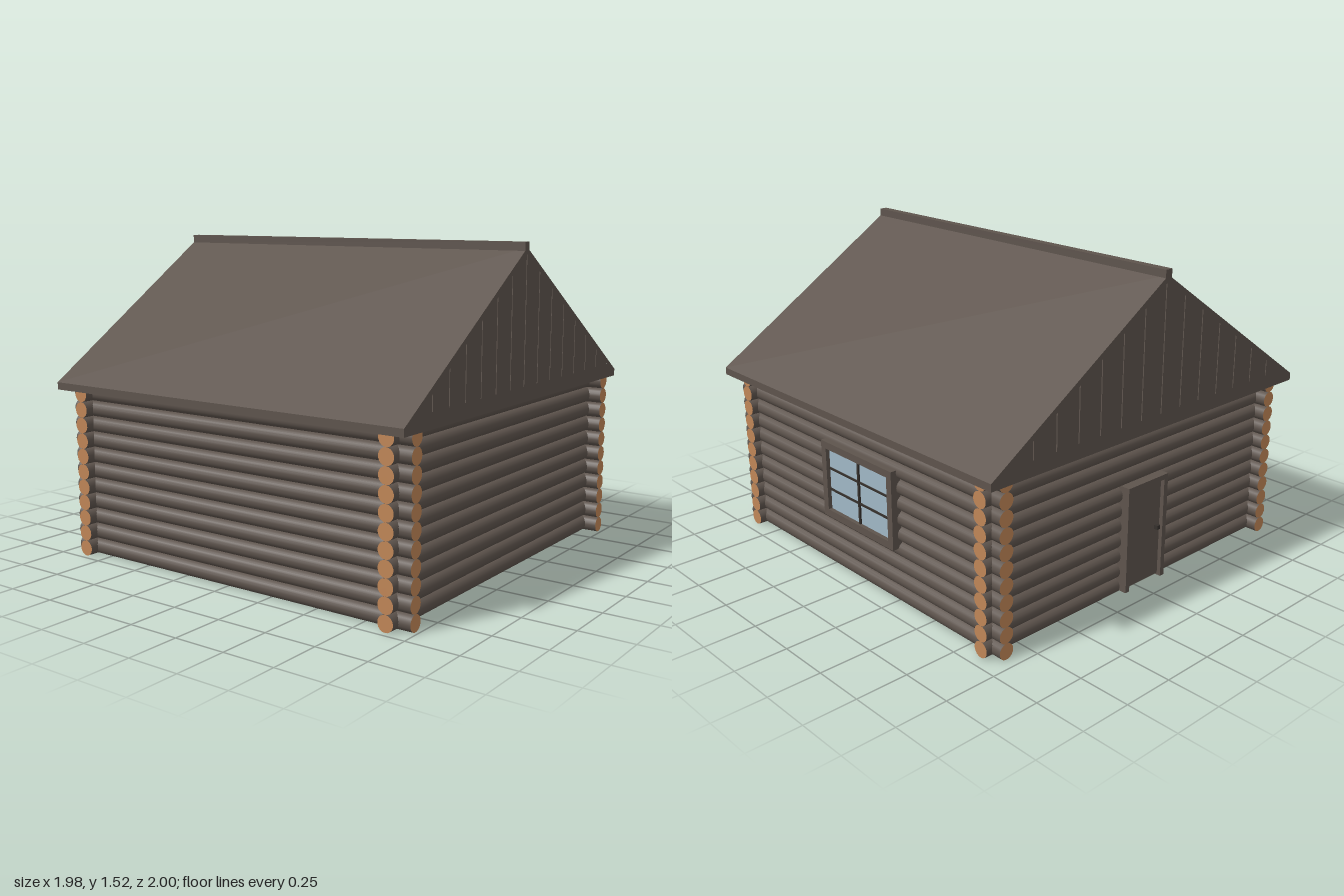
import * as THREE from 'three';

const mat = (name, color) => {
  const m = new THREE.MeshStandardMaterial({ color });
  m.name = name;
  return m;
};

export function createModel() {
  const cabin = new THREE.Group();
  cabin.name = 'logCabin';
  const wood = mat('weathered wood', 0x5e544d);
  const endGrain = mat('cut end grain', 0xc08657);
  const dark = mat('dark gaps', 0x35302c);
  const glass = mat('window glass', 0xa0b8c6);

  const add = (name, geometry, material, parent = cabin) => {
    const mesh = new THREE.Mesh(geometry, material);
    mesh.name = name;
    parent.add(mesh);
    return mesh;
  };
  const box = (name, size, pos, material, parent) => {
    const mesh = add(name, new THREE.BoxGeometry(...size), material, parent);
    mesh.position.set(...pos);
    return mesh;
  };

  // Log walls: eleven logs per side, crossing at the corners
  const R = 0.038, PITCH = 0.0757, COUNT = 11;
  const alongX = new THREE.CylinderGeometry(R, R, 1.93, 18).rotateZ(Math.PI / 2);
  const alongZ = new THREE.CylinderGeometry(R, R, 1.918, 18).rotateX(Math.PI / 2);
  const walls = [
    ['frontWall', alongX, 0.02, 0.897], ['backWall', alongX, 0.02, -0.877],
    ['leftWall', alongZ, 0.89, 0.014], ['rightWall', alongZ, -0.86, 0.014],
  ];
  for (const [name, geometry, x, z] of walls) {
    const wall = new THREE.Group();
    wall.name = name;
    cabin.add(wall);
    for (let i = 0; i < COUNT; i++) {
      add('log', geometry, [wood, endGrain, endGrain], wall).position.set(x, R + i * PITCH, z);
    }
  }
  box('floor', [1.75, 0.03, 1.774], [0.015, 0.018, 0.01], wood);

  // Roof profile is drawn in (-z, y) and extruded along x
  const APEX = 0.015;
  const roofY = (z) => z > APEX
    ? 0.845 + 0.655 * (1 - z) / (1 - APEX)
    : 0.845 + 0.655 * (1 + z) / (1 + APEX);
  const pts = (list) => list.map(([z, y]) => new THREE.Vector2(-z, y));
  const extrude = (shape, depth, x) => new THREE.ExtrudeGeometry(shape, { depth, bevelEnabled: false })
    .rotateY(Math.PI / 2).translate(x - depth / 2, 0, 0);
  const gable = [[0.9, 0.88], [APEX, 1.47], [-0.9, 0.88]];
  const roof = new THREE.Shape(pts([[1, 0.81], [1, 0.845], [APEX, 1.5], [-1, 0.845], [-1, 0.81]]));
  roof.holes.push(new THREE.Path(pts(gable)));
  add('roof', extrude(roof, 1.98, 0), wood);
  add('atticCore', extrude(new THREE.Shape(pts(gable)), 1.92, 0), dark);
  box('ridgeCap', [1.98, 0.04, 0.04], [0, 1.505, 0.017], wood);

  // Gable boards, with narrow gaps between them
  for (const side of [1, -1]) {
    const boards = new THREE.Group();
    boards.name = side > 0 ? 'leftGable' : 'rightGable';
    cabin.add(boards);
    for (let k = -3; k < 11; k++) {
      const z0 = -0.51 + 0.13 * k + 0.003, z1 = z0 + 0.124;
      const top = (z) => Math.max(roofY(z) - 0.022, 0.881);
      const outline = [[z0, 0.875], [z0, top(z0)]];
      if (z0 < APEX && z1 > APEX) outline.push([APEX, top(APEX)]);
      outline.push([z1, top(z1)], [z1, 0.875]);
      add('gableBoard', extrude(new THREE.Shape(pts(outline)), 0.03, side * 0.971), wood, boards);
    }
  }

  // Back window: frame, panes and glazing bars
  const win = new THREE.Group();
  win.name = 'window';
  win.position.set(-0.012, 0.465, -0.92);
  cabin.add(win);
  box('glass', [0.47, 0.32, 0.008], [0, 0, 0.001], glass, win);
  for (const s of [1, -1]) {
    box('frameRail', [0.53, 0.035, 0.05], [0, s * 0.172, 0.002], wood, win);
    box('frameStile', [0.035, 0.31, 0.05], [s * 0.2475, 0, 0.002], wood, win);
    box('horizontalBar', [0.47, 0.009, 0.012], [0, s * 0.053, -0.004], dark, win);
  }
  box('verticalBar', [0.012, 0.32, 0.014], [0, 0, -0.004], dark, win);

  // Door on the right side
  const door = new THREE.Group();
  door.name = 'door';
  door.position.set(-0.9, 0, 0.012);
  cabin.add(door);
  box('doorPanel', [0.03, 0.49, 0.23], [0, 0.275, 0], wood, door);
  for (const s of [1, -1]) box('doorJamb', [0.06, 0.52, 0.025], [-0.005, 0.28, s * 0.122], wood, door);
  box('doorHead', [0.06, 0.025, 0.219], [-0.005, 0.5275, 0], wood, door);
  box('doorHandle', [0.025, 0.02, 0.02], [-0.022, 0.28, 0.085], dark, door);

  return cabin;
}
